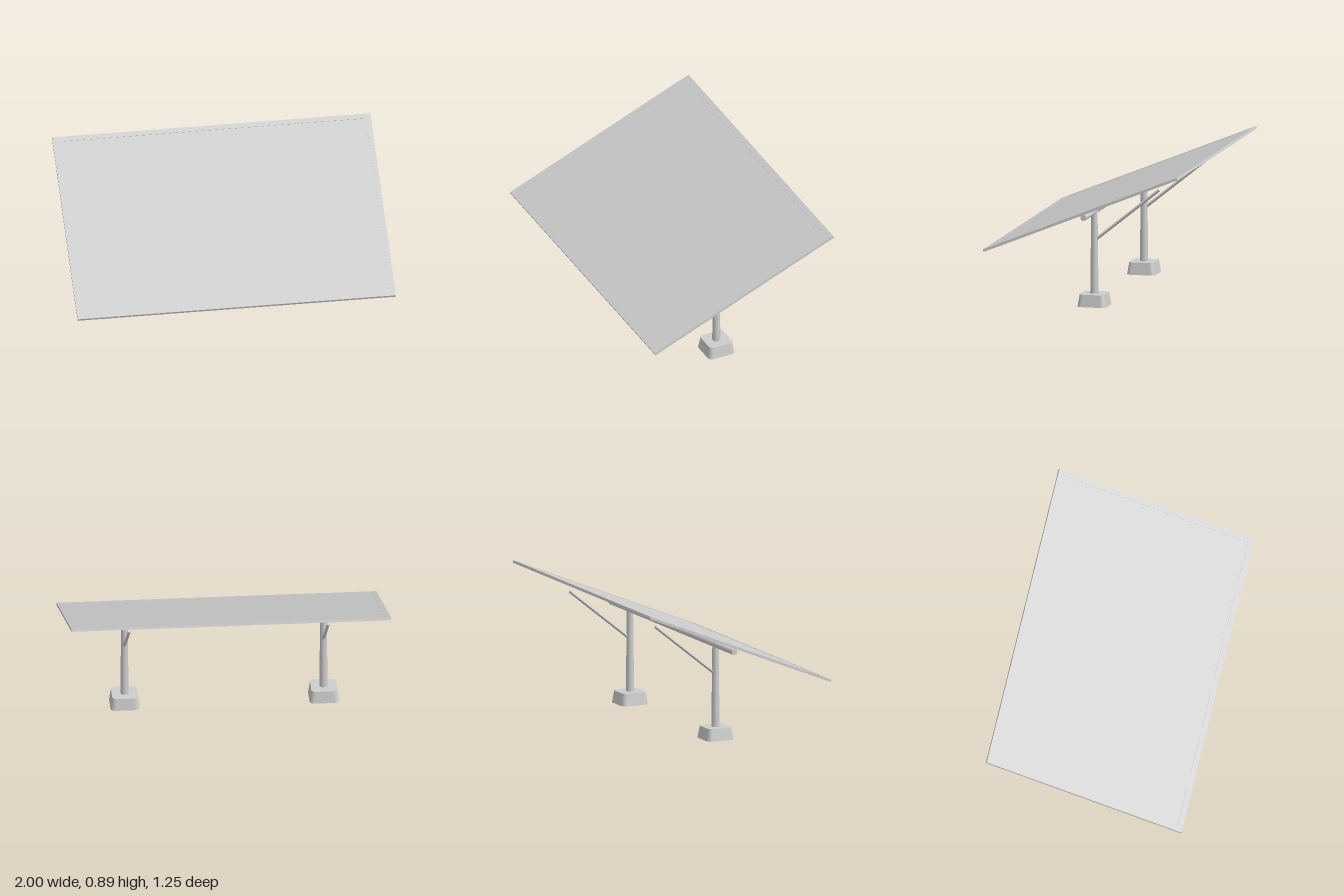
import * as THREE from 'three';

export function createModel() {
  const model = new THREE.Group();
  const grey = new THREE.MeshStandardMaterial({ color: 0xcccccc });
  grey.name = 'light grey';

  const add = (parent, name, geometry, x = 0, y = 0, z = 0) => {
    const mesh = new THREE.Mesh(geometry, grey);
    mesh.name = name;
    mesh.position.set(x, y, z);
    parent.add(mesh);
    return mesh;
  };

  // Tilted panel: thin rim around a very slightly recessed sheet
  const W = 2, L = 1.345, T = 0.016, RIM = 0.035;
  const panel = new THREE.Group();
  panel.name = 'panel';
  panel.position.set(0, 0.633, 0);
  panel.rotation.x = THREE.MathUtils.degToRad(22.05);
  model.add(panel);

  const rectangle = (target, w, l) => {
    target.moveTo(-w / 2, -l / 2);
    target.lineTo(w / 2, -l / 2);
    target.lineTo(w / 2, l / 2);
    target.lineTo(-w / 2, l / 2);
    target.closePath();
    return target;
  };
  const rim = rectangle(new THREE.Shape(), W, L);
  rim.holes.push(rectangle(new THREE.Path(), W - 2 * RIM, L - 2 * RIM));
  const rimGeometry = new THREE.ExtrudeGeometry(rim, { depth: T, bevelEnabled: false });
  rimGeometry.rotateX(-Math.PI / 2).translate(0, -T / 2, 0);
  add(panel, 'panelFrame', rimGeometry);
  add(panel, 'panelSheet', new THREE.BoxGeometry(W - 2 * RIM, T - 0.002, L - 2 * RIM), 0, -0.001, 0);

  // Footing: rounded square block that narrows towards the top
  const FOOT = 0.092, FOOT_H = 0.077, R = 0.03;
  const footShape = new THREE.Shape();
  [[1, 1], [-1, 1], [-1, -1], [1, -1]].forEach(([sx, sy], i) => {
    footShape.absarc(sx * (FOOT - R), sy * (FOOT - R), R, i * Math.PI / 2, (i + 1) * Math.PI / 2, false);
  });
  const footGeometry = new THREE.ExtrudeGeometry(footShape, { depth: FOOT_H, bevelEnabled: false, curveSegments: 6 });
  footGeometry.rotateX(-Math.PI / 2);
  const p = footGeometry.attributes.position;
  for (let i = 0; i < p.count; i++) {
    const s = 1 - 0.13 * p.getY(i) / FOOT_H;
    p.setXYZ(i, p.getX(i) * s, p.getY(i), p.getZ(i) * s);
  }
  footGeometry.computeVertexNormals();

  // Four-sided brace running from the post up towards the back
  const from = new THREE.Vector3(0, 0.42, -0.008);
  const to = new THREE.Vector3(0, 0.745, -0.411);
  const direction = to.clone().sub(from);
  const braceGeometry = new THREE.CylinderGeometry(0.0095, 0.0095, direction.length(), 4).toNonIndexed();
  braceGeometry.computeVertexNormals();

  // Two supports, each with footing, post and brace
  const AXIS_Z = 0.005, POST_H = 0.6 - FOOT_H;
  for (const side of [-1, 1]) {
    const support = new THREE.Group();
    support.name = side > 0 ? 'leftSupport' : 'rightSupport';
    support.position.x = side * 0.622;
    model.add(support);
    add(support, 'footing', footGeometry, 0, 0, AXIS_Z);
    add(support, 'post', new THREE.CylinderGeometry(0.02, 0.026, POST_H, 20), 0, FOOT_H + POST_H / 2, AXIS_Z);
    const brace = add(support, 'brace', braceGeometry);
    brace.position.copy(from).add(to).multiplyScalar(0.5);
    brace.quaternion.setFromUnitVectors(new THREE.Vector3(0, 1, 0), direction.clone().normalize());
  }

  // Horizontal tube carrying the panel
  const tube = add(model, 'crossTube', new THREE.CylinderGeometry(0.019, 0.019, 1.8, 20), 0, 0.597, AXIS_Z);
  tube.rotation.z = Math.PI / 2;

  return model;
}
